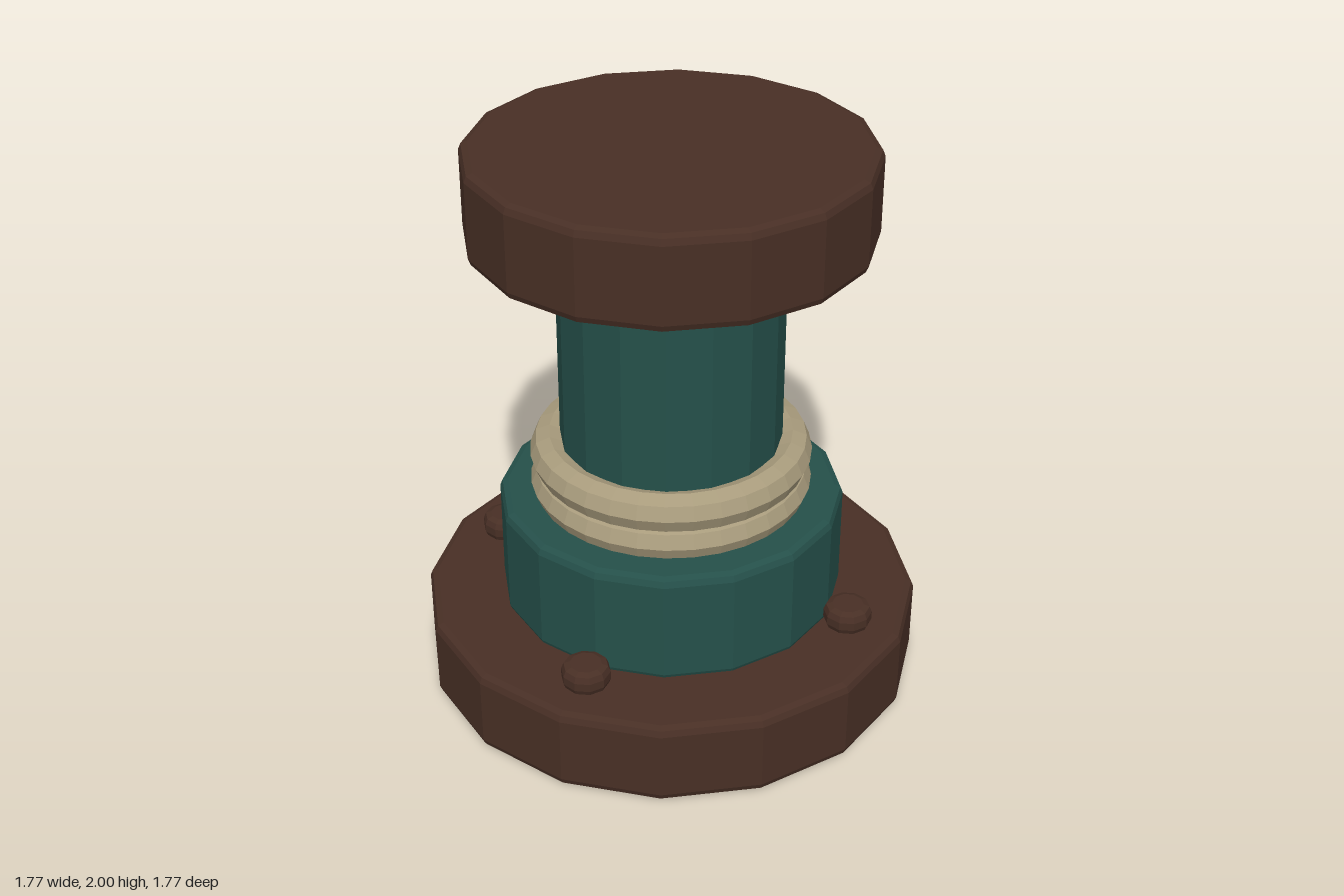
import * as THREE from 'three';

const flat = (name, color) =>
  Object.assign(new THREE.MeshStandardMaterial({ color, flatShading: true }), { name });

// Solid faceted disc with bevelled rims, from y0 to y1
function bevelledDisc(radius, y0, y1, bevel, sides) {
  const k = bevel * 0.29;
  const profile = [
    [0, y0], [radius - bevel, y0], [radius - k, y0 + k], [radius, y0 + bevel],
    [radius, y1 - bevel], [radius - k, y1 - k], [radius - bevel, y1], [0, y1],
  ].map(([x, y]) => new THREE.Vector2(x, y));
  return new THREE.LatheGeometry(profile, sides);
}

export function createModel() {
  const model = new THREE.Group();
  model.name = 'bollard';
  const brown = flat('dark brown', 0x482f25);
  const teal = flat('deep teal', 0x25504a);
  const tan = flat('rope tan', 0xa99c7d);

  const add = (name, geometry, material, x = 0, y = 0, z = 0) => {
    const mesh = new THREE.Mesh(geometry, material);
    mesh.name = name;
    mesh.position.set(x, y, z);
    model.add(mesh);
    return mesh;
  };

  // Main stack
  add('basePlate', bevelledDisc(0.885, 0, 0.307, 0.03, 16), brown);
  add('collar', bevelledDisc(0.61, 0.29, 0.71, 0.03, 16), teal);
  add('column', new THREE.CylinderGeometry(0.39, 0.39, 1.0, 16), teal, 0, 1.19, 0);
  add('cap', bevelledDisc(0.69, 1.675, 2, 0.03, 16), brown);

  // Two rope coils resting on the collar
  [0.753, 0.865].forEach((y, i) => {
    const coil = new THREE.TorusGeometry(0.426, 0.069, 8, 32).rotateX(Math.PI / 2);
    add(`ropeCoil${i + 1}`, coil, tan, 0, y, 0);
  });

  // Four bolts on the base plate
  const bolt = bevelledDisc(0.085, 0.295, 0.385, 0.03, 10);
  for (let i = 0; i < 4; i++) {
    const a = (i * Math.PI) / 2;
    add(`bolt${i + 1}`, bolt, brown, Math.sin(a) * 0.685, 0, Math.cos(a) * 0.685);
  }
  return model;
}
